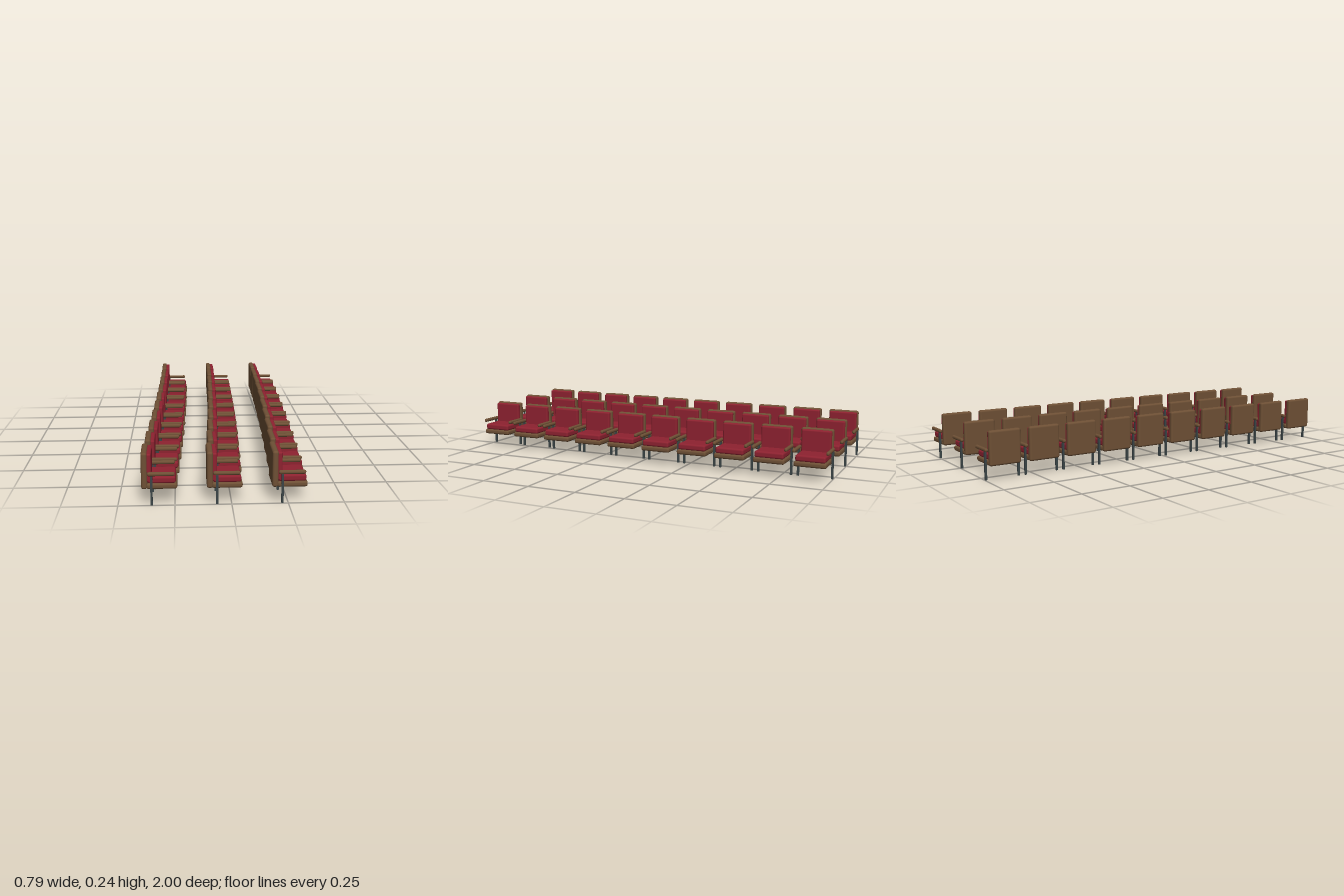
import * as THREE from 'three';
import { RoundedBoxGeometry } from 'three/addons/geometries/RoundedBoxGeometry.js';

const ROWS = 3, SEATS = 10;

function material(name, color) {
  const m = new THREE.MeshStandardMaterial({ color });
  m.name = name;
  return m;
}

// Rounded block given by its min/max in x and y and its half width in z
function block(x0, x1, y0, y1, halfZ, radius) {
  const g = new RoundedBoxGeometry(x1 - x0, y1 - y0, halfZ * 2, 2, radius);
  g.translate((x0 + x1) / 2, (y0 + y1) / 2, 0);
  return g;
}

export function createModel() {
  const wood = material('brown wood', 0x6e5035);
  const fabric = material('red fabric', 0x8e2230);
  const metal = material('dark metal', 0x3a4446);

  // Seat parts, with x = 0 at the rear of the backrest and the seat facing +x
  const leg = new THREE.BoxGeometry(0.01, 0.134, 0.01).translate(0.045, 0.067, 0);
  const arm = block(0.027, 0.148, 0.133, 0.151, 0.0085, 0.008);
  const parts = [
    ['backShell', block(0, 0.027, 0.07, 0.236, 0.079, 0.01), wood, 0],
    ['backCushion', block(0.022, 0.045, 0.1, 0.23, 0.073, 0.008), fabric, 0],
    ['seatShell', block(0.022, 0.158, 0.07, 0.096, 0.079, 0.01), wood, 0],
    ['seatCushion', block(0.027, 0.152, 0.094, 0.126, 0.073, 0.01), fabric, 0],
  ];
  for (const [side, s] of [['left', -1], ['right', 1]]) {
    parts.push([side + 'Armrest', arm, wood, s * 0.0815]);
    parts.push([side + 'Leg', leg, metal, s * 0.0835]);
  }

  function makeSeat() {
    const seat = new THREE.Group();
    for (const [name, geometry, mat, z] of parts) {
      const mesh = new THREE.Mesh(geometry, mat);
      mesh.name = name;
      mesh.position.z = z;
      seat.add(mesh);
    }
    return seat;
  }

  // Three gently bowed rows running along z
  const model = new THREE.Group();
  model.name = 'seatingBlock';
  for (let r = 0; r < ROWS; r++) {
    const row = new THREE.Group();
    row.name = 'row' + (r + 1);
    for (let i = 0; i < SEATS; i++) {
      const t = i / (SEATS - 1);
      const seat = makeSeat();
      seat.name = 'seat' + (i + 1);
      const bow = 0.06 * (0.35 * t + 0.65 * t * t);
      seat.position.set(-0.337 + r * 0.288 - bow, 0, -0.91 + 1.82 * t);
      row.add(seat);
    }
    model.add(row);
  }
  return model;
}
